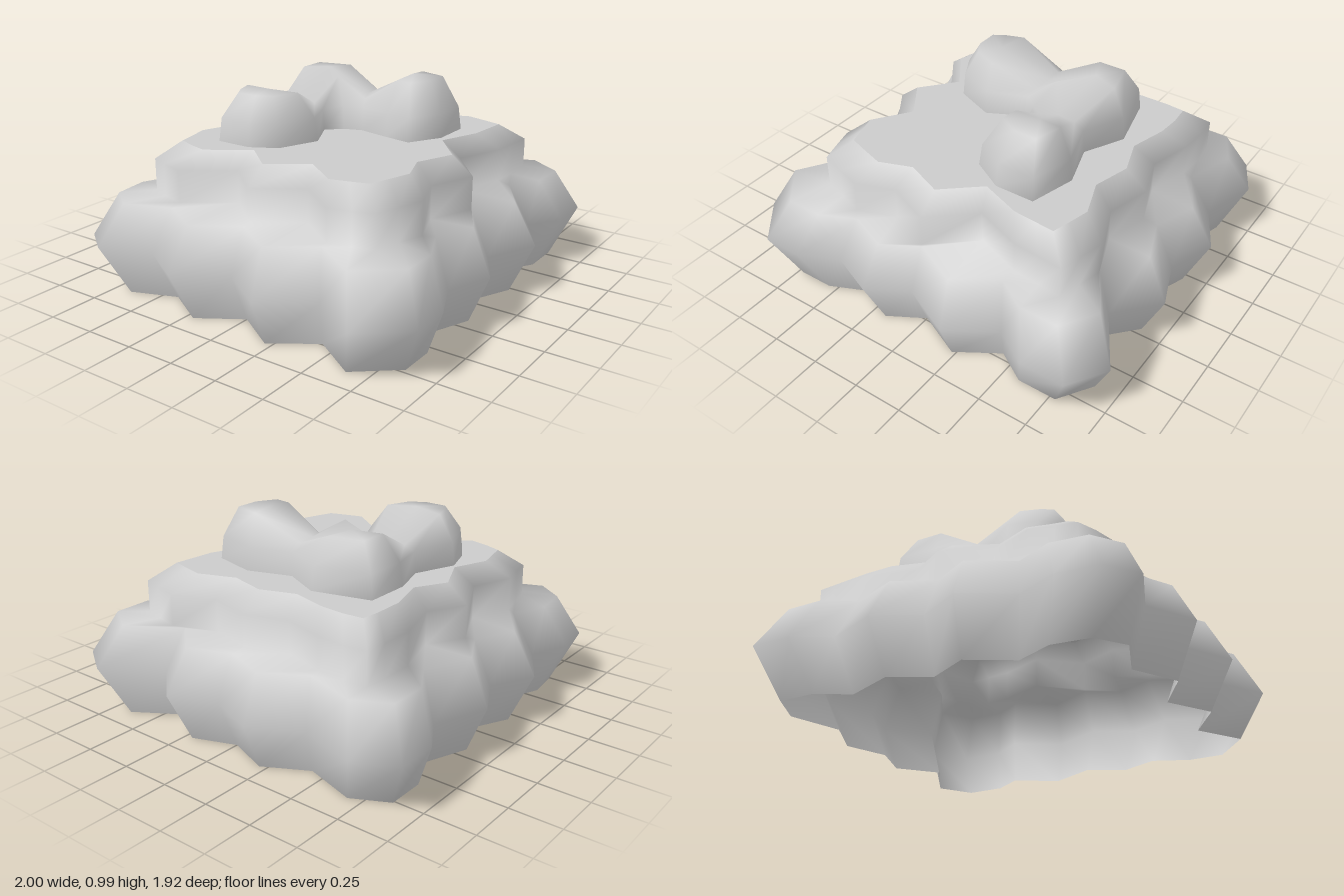
import * as THREE from 'three';
import { mergeVertices } from 'three/addons/utils/BufferGeometryUtils.js';

const material = new THREE.MeshStandardMaterial({ color: 0xcccccc, side: THREE.DoubleSide });

// Scalloped plan outlines as [x, z], starting at the back left corner
const LOWER = [
  [-0.96, -0.74], [-0.85, -0.89], [-0.65, -0.915], [-0.45, -0.83], [-0.22, -0.965], [0, -0.855],
  [0.21, -0.965], [0.48, -0.86], [0.65, -0.965], [0.86, -0.965], [0.96, -0.77], [0.87, -0.48],
  [1, -0.24], [0.91, 0], [1, 0.24], [0.82, 0.44], [1, 0.73], [0.88, 0.915], [0.66, 0.915],
  [0.49, 0.81], [0.26, 0.955], [0, 0.835], [-0.2, 0.95], [-0.42, 0.86], [-0.62, 0.95],
  [-0.82, 0.95], [-1, 0.73], [-0.84, 0.48], [-1, 0.24], [-0.85, 0], [-1, -0.24], [-0.86, -0.48],
];
const UPPER = [
  [-0.68, -0.55], [-0.64, -0.65], [-0.54, -0.67], [-0.42, -0.7], [-0.21, -0.62], [0.03, -0.73],
  [0.21, -0.63], [0.45, -0.7], [0.62, -0.7], [0.73, -0.69], [0.74, -0.57], [0.73, -0.43],
  [0.67, -0.21], [0.74, 0], [0.68, 0.22], [0.76, 0.44], [0.73, 0.56], [0.7, 0.67], [0.58, 0.66],
  [0.45, 0.65], [0.21, 0.56], [0, 0.74], [-0.22, 0.65], [-0.41, 0.72], [-0.54, 0.68],
  [-0.66, 0.64], [-0.69, 0.54], [-0.72, 0.43], [-0.57, 0.22], [-0.72, 0], [-0.55, -0.2], [-0.71, -0.43],
];

// Ridge points of the crown: three domes (A, B, C) with dips (P, Q) between them
const RIDGE = {
  A: [-0.25, 0.955, -0.25], P: [0.02, 0.85, -0.27], B: [0.29, 0.965, -0.27],
  Q: [0.25, 0.87, 0], C: [0.3, 0.99, 0.23],
};
// Crown outline as [x, z, ridge point]
const CROWN = [
  [-0.45, -0.4, 'A'], [-0.35, -0.46, 'A'], [-0.2, -0.51, 'A'], [0.01, -0.43, 'P'], [0.2, -0.49, 'B'],
  [0.43, -0.49, 'B'], [0.5, -0.2, 'B'], [0.4, 0, 'Q'], [0.47, 0.22, 'C'], [0.41, 0.45, 'C'],
  [0.21, 0.45, 'C'], [0.05, 0.36, 'C'], [0.07, 0.22, 'C'], [0.1, 0.06, 'Q'], [0.07, -0.03, 'B'],
  [0, -0.1, 'P'], [-0.18, -0.01, 'A'], [-0.38, -0.09, 'A'], [-0.45, -0.22, 'A'],
];

// Skin through equal-length closed loops of [x, y, z], bottom to top
function loft(loops) {
  const n = loops[0].length;
  const index = [];
  for (let k = 0; k < loops.length - 1; k++) {
    for (let i = 0; i < n; i++) {
      const j = (i + 1) % n;
      const a = k * n + i, b = k * n + j, c = a + n, d = b + n;
      index.push(b, a, c, b, c, d);
    }
  }
  const geometry = new THREE.BufferGeometry();
  geometry.setAttribute('position', new THREE.Float32BufferAttribute(loops.flat(2), 3));
  geometry.setIndex(index);
  const merged = mergeVertices(geometry);
  merged.computeVertexNormals();
  return merged;
}

const ring = (outline, y, s) => outline.map(([x, z]) => [x * s, y, z * s]);

// Crown loop: t moves it from the outline towards the ridge, y from the ridge height
const crownRing = (t, height) => CROWN.map(([x, z, key]) => {
  const r = RIDGE[key];
  return [x + (r[0] - x) * t, height(r[1]), z + (r[2] - z) * t];
});

export function createModel() {
  const group = new THREE.Group();
  const add = (name, geometry) => {
    const mesh = new THREE.Mesh(geometry, material);
    mesh.name = name;
    group.add(mesh);
  };
  const top = 0.715;

  // Two stacked scalloped tiers, open underneath
  add('scallopedTiers', loft([
    ring(LOWER, 0, 0.885), ring(LOWER, 0.25, 1), ring(LOWER, 0.46, 0.89),
    ring(UPPER, 0.47, 1), ring(UPPER, 0.63, 1), ring(UPPER, top, 0.85),
  ]));

  // Flat terrace around the foot of the crown
  const toPoints = (loop) => loop.map(([x, , z]) => new THREE.Vector2(x, -z));
  const terrace = new THREE.Shape(toPoints(ring(UPPER, top, 0.85)));
  terrace.holes.push(new THREE.Path(toPoints(crownRing(0, () => top))));
  add('terrace', new THREE.ShapeGeometry(terrace).rotateX(-Math.PI / 2).translate(0, top, 0));

  // L-shaped crown of three joined domes
  add('crown', loft([
    crownRing(0, () => top), crownRing(0.06, (h) => Math.min(0.83, h - 0.03)),
    crownRing(0.4, (h) => h - 0.008), crownRing(1, (h) => h),
  ]));
  return group;
}
